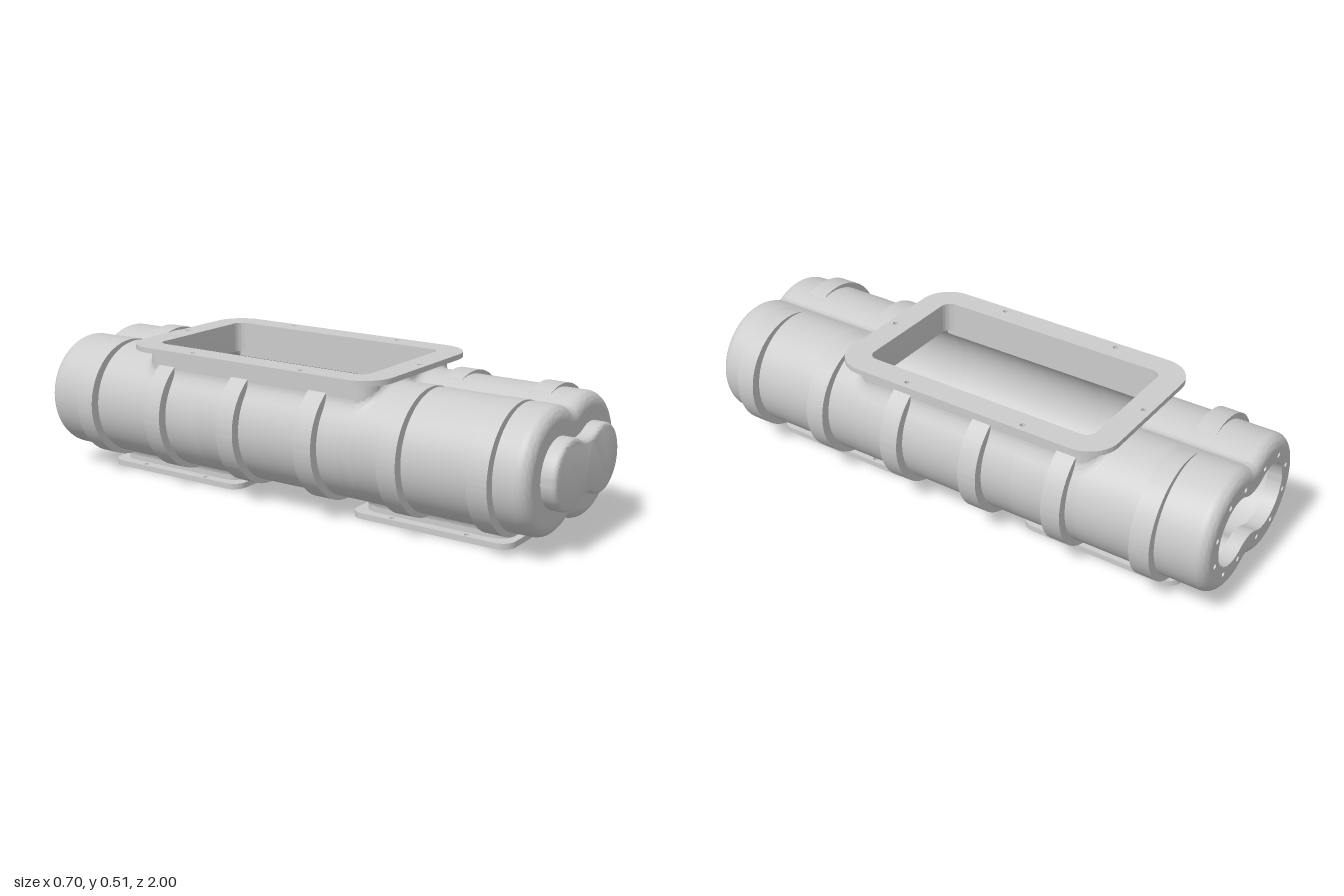
import * as THREE from 'three';
import { toCreasedNormals } from 'three/addons/utils/BufferGeometryUtils.js';

const grey = new THREE.MeshStandardMaterial({ color: 0xcccccc });
const greyDouble = new THREE.MeshStandardMaterial({ color: 0xcccccc, side: THREE.DoubleSide });

const AXIS_Y = 0.265;  // height of the twin bores
const LOBE_X = 0.112;  // offset of each bore from the middle
const REACH = 0.238;   // lobe radius + waist radius, constant for every offset
const WAIST_Y = Math.sqrt(REACH ** 2 - LOBE_X ** 2);
const TILT = Math.asin(LOBE_X / REACH);
const OUTER = 0.206, BORE = 0.165, PORT = 0.115;

function mesh(parent, name, geometry, material = grey) {
  const m = new THREE.Mesh(toCreasedNormals(geometry, 0.6), material);
  m.name = name;
  parent.add(m);
  return m;
}

const extrude = (shape, depth, options = {}) =>
  new THREE.ExtrudeGeometry(shape, { depth, bevelEnabled: false, curveSegments: 12, ...options });

// Half height of the two-lobed profile at a given x
function heightAt(r, x) {
  const f = REACH - r, ax = Math.abs(x);
  if (ax < f * Math.sin(TILT)) return WAIST_Y - Math.sqrt(f * f - ax * ax);
  return Math.sqrt(Math.max(0, r * r - (ax - LOBE_X) ** 2));
}

// Right half of the profile from bottom to top, cut off at the given x values
function halfProfile(r, cutBottom = 0, cutTop = 0) {
  const f = REACH - r, waist = [], lobe = [];
  for (let i = 1; i < 8; i++) {
    const a = TILT * i / 8;
    waist.push([f * Math.sin(a), WAIST_Y - f * Math.cos(a)]);
  }
  const sweep = Math.PI / 2 + TILT;
  for (let i = 0; i <= 48; i++) {
    const a = -sweep + 2 * sweep * i / 48;
    lobe.push([LOBE_X + r * Math.cos(a), r * Math.sin(a)]);
  }
  const all = [...waist.map(([x, y]) => [x, -y]), ...lobe, ...waist.slice().reverse()];
  const kept = all.filter(([x, y]) => x > (y < 0 ? cutBottom : cutTop) + 1e-4);
  return [[cutBottom, -heightAt(r, cutBottom)], ...kept, [cutTop, heightAt(r, cutTop)]]
    .map(([x, y]) => new THREE.Vector2(x, y));
}

function fullProfile(r) {
  const half = halfProfile(r);
  const mirrored = half.slice(1, -1).reverse().map(p => new THREE.Vector2(-p.x, p.y));
  return [...half, ...mirrored];
}

// Skin through rows of points
function loft(rows) {
  const n = rows[0].length, index = [];
  for (let j = 0; j < rows.length - 1; j++) {
    for (let i = 0; i < n - 1; i++) {
      const a = j * n + i, b = a + n;
      index.push(a, a + 1, b + 1, a, b + 1, b);
    }
  }
  const g = new THREE.BufferGeometry().setFromPoints(rows.flat());
  g.setIndex(index);
  return g;
}

function roundedRect(hx, hy, r) {
  const s = new THREE.Shape();
  s.absarc(hx - r, hy - r, r, 0, Math.PI / 2);
  s.absarc(r - hx, hy - r, r, Math.PI / 2, Math.PI);
  s.absarc(r - hx, r - hy, r, Math.PI, Math.PI * 1.5);
  s.absarc(hx - r, r - hy, r, Math.PI * 1.5, Math.PI * 2);
  s.closePath();
  return s;
}

function drill(shape, x, y, r = 0.009) {
  shape.holes.push(new THREE.Path().absarc(x, y, r, 0, Math.PI * 2, true));
}

// End wall facing +z with a rounded rim; z = 0 is its outer face
function endWall(name, hasPort) {
  const group = new THREE.Group(), round = 0.04;
  group.name = name;
  const rows = [];
  for (let i = 0; i <= 8; i++) {
    const a = Math.PI / 2 * i / 8;
    const ring = fullProfile(OUTER - round * (1 - Math.cos(a)));
    rows.push([...ring, ring[0]].map(p => new THREE.Vector3(p.x, p.y, round * (Math.sin(a) - 1))));
  }
  mesh(group, 'roundedRim', loft(rows));
  const wall = new THREE.Shape(fullProfile(OUTER - round));
  if (hasPort) {
    wall.holes.push(new THREE.Path(fullProfile(PORT)));
    for (const side of [-1, 1]) {
      for (const deg of [-108, -65, -20, 20, 65, 108]) {
        const a = deg * Math.PI / 180;
        drill(wall, side * (LOBE_X + 0.14 * Math.cos(a)), 0.14 * Math.sin(a));
      }
    }
  }
  mesh(group, 'endPlate', extrude(wall, 0.05).translate(0, 0, -0.05));
  group.position.y = AXIS_Y;
  return group;
}

// Rectangular opening with neck, flange and a fillet onto the housing; dir = 1 up, -1 down
function duct(name, dir, o) {
  const group = new THREE.Group();
  group.name = name;
  group.position.z = o.z;
  const hole = () => new THREE.Path(roundedRect(o.hole[0], o.hole[1], 0.035).getPoints(8));
  const layer = (part, shape, y0, y1) => {
    shape.holes.push(hole());
    mesh(group, part, extrude(shape, y1 - y0).rotateX(-Math.PI / 2).translate(0, y0, 0));
  };
  const plate = roundedRect(o.flange[0], o.flange[1], o.corner);
  for (const s of [-1, 1]) {
    drill(plate, 0, s * o.bolts[1]);
    for (const t of [-1, 1]) drill(plate, s * o.bolts[0], t * o.bolts[2]);
  }
  layer('flange', plate, ...o.flangeY);
  layer('neck', roundedRect(o.neck[0], o.neck[1], 0.06), ...o.neckY);
  const rows = [], f = 0.022;
  for (let i = 0; i <= 6; i++) {
    const a = Math.PI / 2 * i / 6;
    const off = f * (1 - Math.sin(a)), rise = f * (1 - Math.cos(a));
    const ring = roundedRect(o.neck[0] + off, o.neck[1] + off, 0.06 + off).getSpacedPoints(120);
    rows.push(ring.map(p => new THREE.Vector3(
      p.x, AXIS_Y + dir * (heightAt(OUTER, p.x) + rise), -p.y)));
  }
  mesh(group, 'neckFillet', loft(rows), greyDouble);
  return group;
}

export function createModel() {
  const model = new THREE.Group();
  model.name = 'twinBoreHousing';

  // Housing wall in lengths: [start, end, half width of bottom cut, of top cut]
  const lower = 0.115, upper = 0.23;
  const lengths = [
    [-0.96, -0.79, 0, 0], [-0.79, -0.54, lower, 0], [-0.54, -0.3, lower, upper],
    [-0.3, 0.28, 0, upper], [0.28, 0.33, lower, upper], [0.33, 0.77, lower, 0],
    [0.77, 0.91, 0, 0],
  ];
  // Ribs: [centre z, start angle, end angle] around each lobe
  const ribs = [
    [0.802, -92, 112], [0.483, -92, 112], [0.164, -112, 57],
    [-0.155, -112, 57], [-0.475, -92, 57], [-0.793, -92, 112],
  ];
  for (const side of [1, -1]) {
    const half = new THREE.Group();
    half.name = side > 0 ? 'leftHalf' : 'rightHalf';
    half.scale.x = side;
    half.position.y = AXIS_Y;
    for (const [z0, z1, b, t] of lengths) {
      const wall = new THREE.Shape([...halfProfile(OUTER, b, t), ...halfProfile(BORE, b, t).reverse()]);
      mesh(half, 'housingWall', extrude(wall, z1 - z0).translate(0, 0, z0));
    }
    for (const [z, from, to] of ribs) {
      const a = from * Math.PI / 180, b = to * Math.PI / 180;
      const rib = new THREE.Shape();
      rib.absarc(0.137, 0, 0.214, a, b, false);
      rib.absarc(0.137, 0, 0.18, b, a, true);
      mesh(half, 'rib', extrude(rib, 0.07, { curveSegments: 40 }).translate(0, 0, z - 0.035));
    }
    model.add(half);
  }

  // Closed front end with raised boss, open rear end with bolt holes
  const front = endWall('frontEnd', false);
  front.position.z = 0.95;
  const bossShape = new THREE.Shape(fullProfile(PORT));
  mesh(front, 'frontBoss', extrude(bossShape, 0.046, {
    bevelEnabled: true, bevelSize: 0.014, bevelThickness: 0.014, bevelOffset: -0.014, bevelSegments: 5,
  }).translate(0, 0, -0.01));
  const rear = endWall('rearEnd', true);
  rear.rotation.y = Math.PI;
  rear.position.z = -1;
  model.add(front, rear);

  // Top opening and the two openings underneath
  model.add(duct('topDuct', 1, {
    z: -0.105, flange: [0.317, 0.5225], corner: 0.11, hole: [0.23, 0.435], neck: [0.262, 0.472],
    bolts: [0.29, 0.495, 0.225], flangeY: [0.49, 0.508], neckY: [0.4, 0.49],
  }));
  for (const z of [0.525, -0.545]) {
    model.add(duct('bottomDuct', -1, {
      z, flange: [0.168, 0.297], corner: 0.05, hole: [0.115, 0.245], neck: [0.132, 0.272],
      bolts: [0.15, 0.278, 0.14], flangeY: [0, 0.02], neckY: [0.02, 0.095],
    }));
  }
  return model;
}
